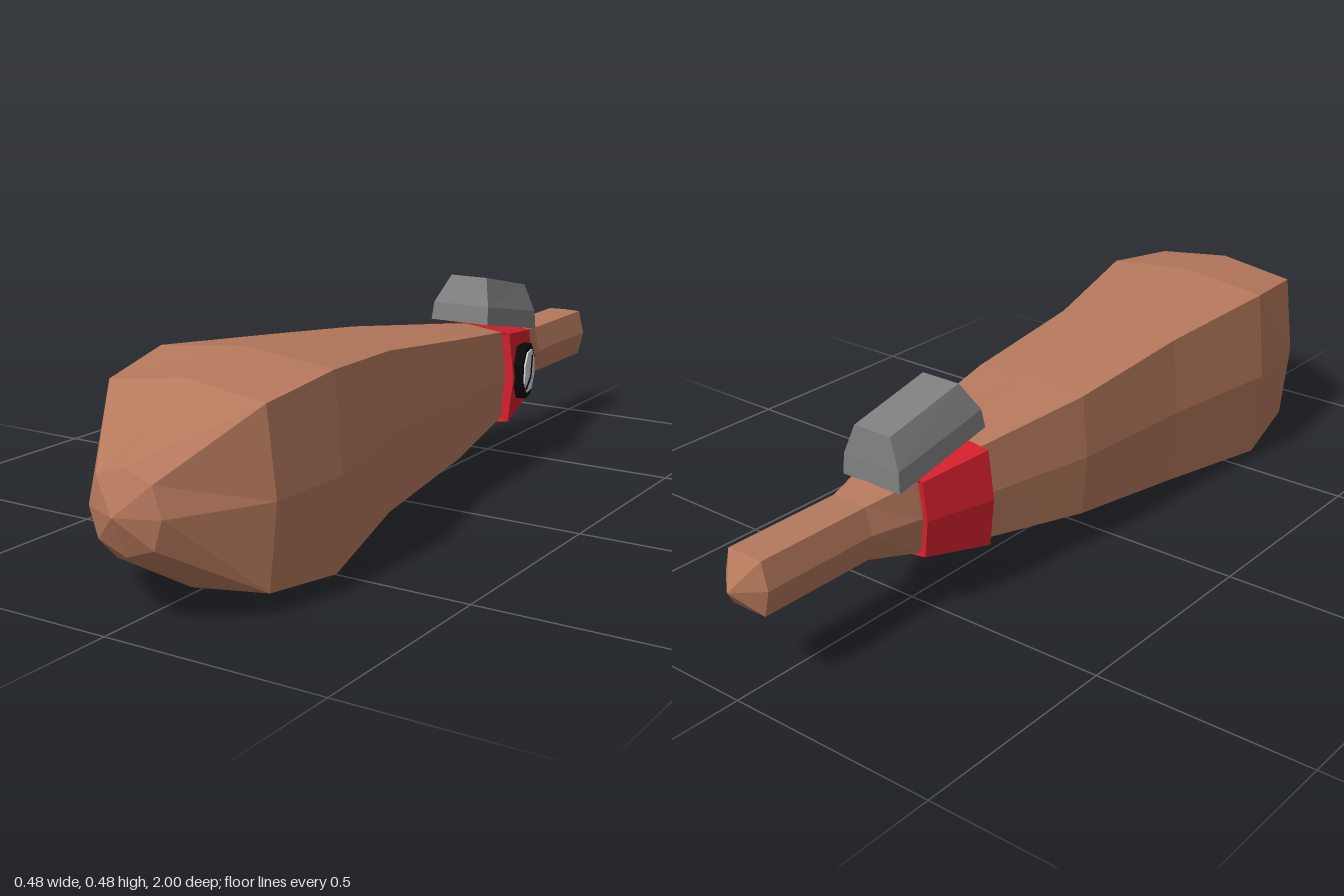
import * as THREE from 'three';

const mat = (name, color, side = THREE.FrontSide) =>
  Object.assign(new THREE.MeshStandardMaterial({ color, flatShading: true, side }), { name });

// Skin a list of rings; optional end points close the two ends with fans.
function loft(rings, startPoint, endPoint) {
  const pos = [];
  const tri = (a, b, c) => pos.push(...a, ...b, ...c);
  const n = rings[0].length;
  for (let j = 0; j < n; j++) {
    const k = (j + 1) % n;
    for (let i = 0; i < rings.length - 1; i++) {
      const r = rings[i], s = rings[i + 1];
      tri(r[j], s[j], r[k]);
      tri(r[k], s[j], s[k]);
    }
    if (startPoint) tri(startPoint, rings[0][j], rings[0][k]);
    const last = rings[rings.length - 1];
    if (endPoint) tri(endPoint, last[k], last[j]);
  }
  const g = new THREE.BufferGeometry();
  g.setAttribute('position', new THREE.Float32BufferAttribute(pos, 3));
  g.computeVertexNormals();
  return g;
}

// Eight-point boxy section: side limits plus how far the corners reach.
function section([z, xl, xr, yb, yt, fx, fy]) {
  const cx = (xl + xr) / 2, cy = (yb + yt) / 2;
  const hx = (xr - xl) / 2, hy = (yt - yb) / 2;
  return [[1, 0], [fx, fy], [0, 1], [-fx, fy], [-1, 0], [-fx, -fy], [0, -1], [fx, -fy]]
    .map(([x, y]) => [cx + x * hx, cy + y * hy, z]);
}

// Four-point ring of the top block, sloping from front to back.
const blockRing = (w, zf, zb, yf, yb) => [[w, yf, zf], [w, yb, zb], [-w, yb, zb], [-w, yf, zf]];

export function createModel() {
  const group = new THREE.Group();
  const wood = mat('wood brown', 0xb5785c);
  const red = mat('strap red', 0xd2202c, THREE.DoubleSide);
  const grey = mat('block grey', 0x7e7e7e);
  const black = mat('dial black', 0x080808);
  const pale = mat('dial pale grey', 0xd2d2d2);
  const add = (name, geometry, material, parent = group) => {
    const m = new THREE.Mesh(geometry, material);
    m.name = name;
    parent.add(m);
    return m;
  };

  // Club body and handle
  const body = [
    [0.96, -0.06, 0.115, 0.15, 0.325, 0.77, 0.72],
    [0.76, -0.198, 0.227, 0.025, 0.45, 0.9, 0.88],
    [0.55, -0.238, 0.237, 0.002, 0.473, 0.92, 0.9],
    [0.23, -0.195, 0.16, 0.035, 0.44, 0.92, 0.9],
    [-0.1, -0.175, 0.148, 0.078, 0.4, 0.92, 0.9],
    [-0.4, -0.11, 0.105, 0.118, 0.358, 0.9, 0.9],
    [-0.55, -0.085, 0.085, 0.148, 0.332, 0.85, 0.9],
    [-0.67, -0.06, 0.06, 0.183, 0.306, 0.75, 0.98],
    [-0.95, -0.06, 0.06, 0.183, 0.306, 0.75, 0.98],
  ].map(section);
  add('clubBody', loft(body, [0.03, 0.238, 1], [0, 0.243, -1]), wood);

  // Flared strap: outer wall plus a rim at each end
  const strap = [
    [-0.385, -0.1, 0.1, 0.12, 0.35, 0.9, 0.9],
    [-0.38, -0.138, 0.133, 0.105, 0.362, 0.9, 0.88],
    [-0.548, -0.1, 0.1, 0.14, 0.338, 0.9, 0.88],
    [-0.543, -0.08, 0.08, 0.152, 0.328, 0.88, 0.88],
  ].map(section);
  add('strap', loft(strap), red);

  // Bevelled block on top
  const block = [
    blockRing(0.05, -0.385, -0.595, 0.481, 0.434),
    blockRing(0.077, -0.345, -0.603, 0.415, 0.365),
    blockRing(0.08, -0.337, -0.605, 0.372, 0.318),
  ];
  add('topBlock', loft(block, [0, 0.4575, -0.49], [0, 0.345, -0.47]), grey);

  // Dial on the left side, its local z pointing outward
  const dial = new THREE.Group();
  dial.name = 'dial';
  dial.position.set(0.12, 0.238, -0.461);
  dial.rotation.y = Math.PI / 2 + 0.24;
  group.add(dial);
  const disc = (r, h) => new THREE.CylinderGeometry(r, r, h, 8).rotateX(Math.PI / 2).rotateZ(Math.PI / 8);
  add('dialRim', disc(0.072, 0.026), black, dial);
  add('dialFace', disc(0.056, 0.004), pale, dial).position.z = 0.015;
  const hands = [[0.042, -0.038], [-0.006, -0.016], [-0.02, 0.038]];
  for (let i = 0; i < 2; i++) {
    const [x0, y0] = hands[i], [x1, y1] = hands[i + 1];
    // local x runs toward the back of the club
    const [dx, dy] = [x0 - x1, y1 - y0];
    const hand = add('dialHand', new THREE.BoxGeometry(Math.hypot(dx, dy), 0.006, 0.003), black, dial);
    hand.position.set(-(x0 + x1) / 2, (y0 + y1) / 2, 0.018);
    hand.rotation.z = Math.atan2(dy, dx);
  }
  return group;
}
